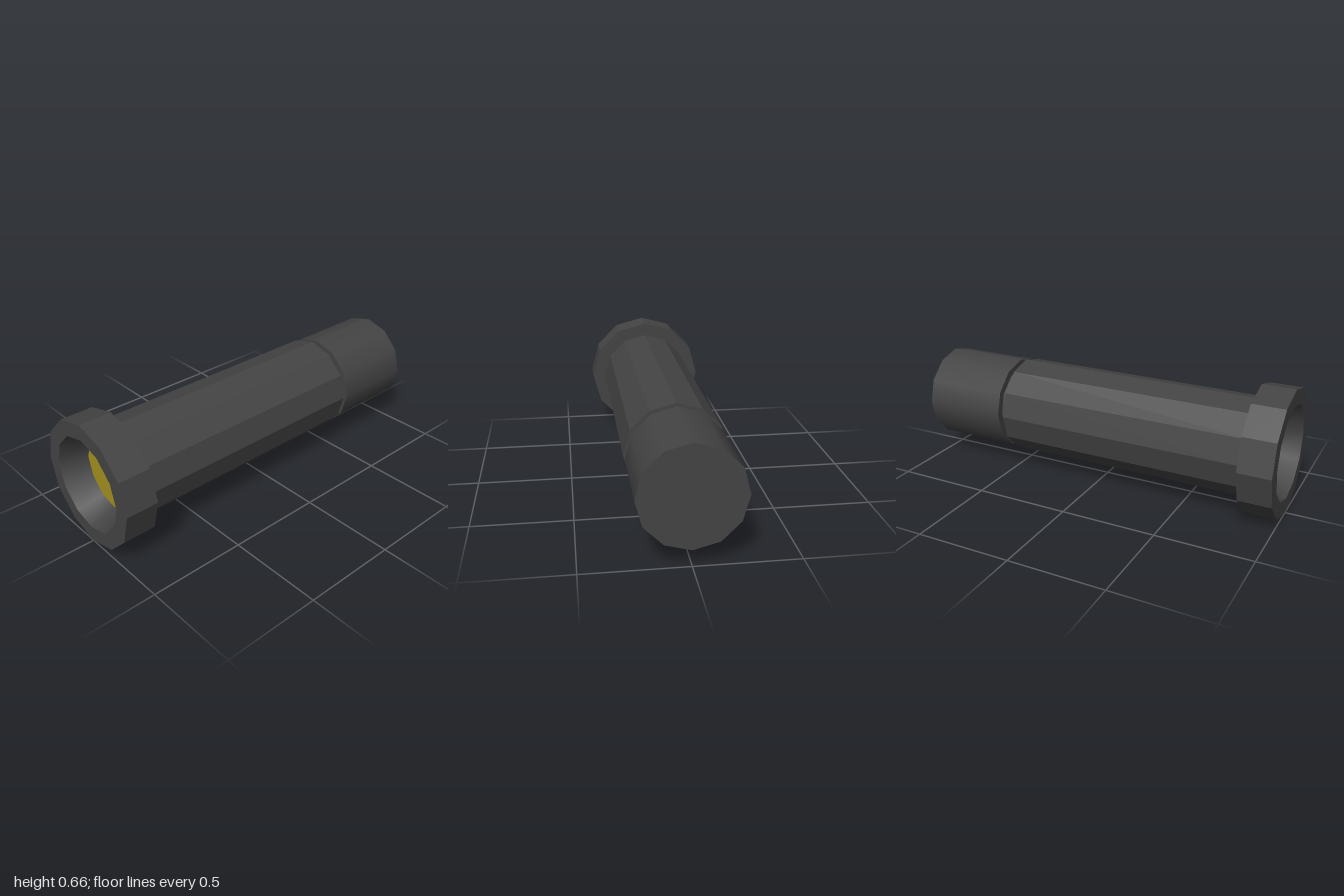
import * as THREE from 'three';

const SIDES = 12;
const AXIS_Y = 0.33;

export function createModel() {
  const group = new THREE.Group();
  const smooth = new THREE.MeshStandardMaterial({ color: 0x444444 });
  const faceted = new THREE.MeshStandardMaterial({ color: 0x444444, flatShading: true });
  const yellow = new THREE.MeshStandardMaterial({ color: 0xa39120 });

  // Turns a y-axis geometry to lie along z at the axis height
  const add = (name, geometry, material) => {
    geometry.rotateX(Math.PI / 2);
    const mesh = new THREE.Mesh(geometry, material);
    mesh.name = name;
    mesh.position.y = AXIS_Y;
    group.add(mesh);
  };
  const cylinder = (radius, back, front) =>
    new THREE.CylinderGeometry(radius, radius, front - back, SIDES).translate(0, (front + back) / 2, 0);
  const lathe = (points) =>
    new THREE.LatheGeometry(points.map(([r, z]) => new THREE.Vector2(r, z)), SIDES);

  // Barrel, narrow groove and rear cap
  add('barrel', cylinder(0.255, -0.51, 0.84), faceted);
  add('groove', cylinder(0.213, -0.56, -0.5), smooth);
  add('rearCap', cylinder(0.25, -1, -0.545), smooth);

  // Wide head ring with a conical reflector leading down to the lens
  add('head', lathe([[0.2, 0.83], [0.33, 0.83], [0.33, 1], [0.248, 1]]), faceted);
  add('reflector', lathe([[0.248, 1], [0.197, 0.865]]), smooth);
  add('lens', cylinder(0.197, 0.845, 0.865), yellow);

  return group;
}
